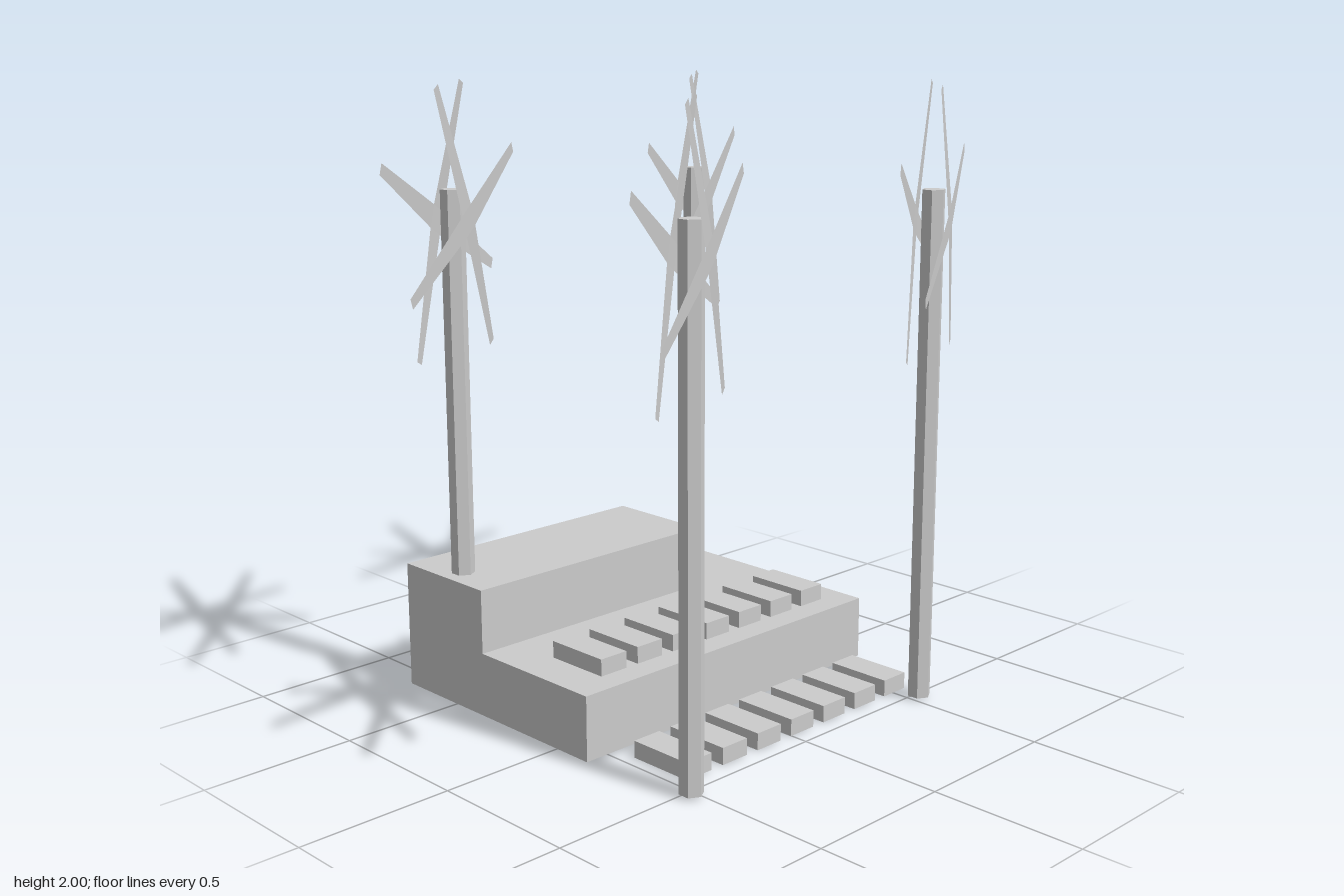
import * as THREE from 'three';

const material = new THREE.MeshStandardMaterial({ color: 0xcccccc, flatShading: true, side: THREE.DoubleSide });

function add(parent, name, geometry, x = 0, y = 0, z = 0) {
  const mesh = new THREE.Mesh(geometry, material);
  mesh.name = name;
  mesh.position.set(x, y, z);
  parent.add(mesh);
  return mesh;
}

// Box given by its limits, keeping only the listed sides (0..5 = +x -x +y -y +z -z)
function shell([x0, x1], [y0, y1], [z0, z1], sides) {
  const g = new THREE.BoxGeometry(x1 - x0, y1 - y0, z1 - z0);
  const index = Array.from(g.index.array);
  g.setIndex(sides.flatMap(s => index.slice(s * 6, s * 6 + 6)));
  g.clearGroups();
  return g.translate((x0 + x1) / 2, (y0 + y1) / 2, (z0 + z1) / 2);
}

// Flat cross of four tapering arms, bulging slightly at the centre
function crossGeometry(angle, bulge) {
  const r = 0.46, tip = 0.018, root = 0.038;
  const points = [];
  for (let i = 0; i < 4; i++) {
    const a = angle + i * Math.PI / 2;
    for (const [u, v] of [[root, -root], [r, -tip], [r, tip]]) {
      points.push(new THREE.Vector2(u * Math.cos(a) - v * Math.sin(a), u * Math.sin(a) + v * Math.cos(a)));
    }
  }
  const g = new THREE.ShapeGeometry(new THREE.Shape(points));
  const p = g.attributes.position;
  for (let i = 0; i < p.count; i++) {
    p.setZ(i, bulge * (1 - Math.hypot(p.getX(i), p.getY(i)) / r));
  }
  g.computeVertexNormals();
  return g;
}

function createTree(x, z) {
  const tree = new THREE.Group();
  tree.name = 'palmTree';
  tree.position.set(x, 0, z);
  add(tree, 'trunk', new THREE.CylinderGeometry(0.038, 0.038, 1.66, 6).rotateY(Math.PI / 6), 0, 0.84, 0);

  // Two counter-rotated crosses of leaves, one on each side of the trunk
  const crown = new THREE.Group();
  crown.name = 'crown';
  crown.position.y = 1.573;
  crown.rotation.y = -Math.PI / 3;
  for (const side of [1, -1]) {
    add(crown, 'leaves', crossGeometry(side * THREE.MathUtils.degToRad(25), side * 0.014), 0, 0, side * 0.041);
  }
  tree.add(crown);
  return tree;
}

export function createModel() {
  const model = new THREE.Group();
  model.name = 'terraceWithPalms';

  // Stepped terrace, hollow and open underneath
  const [x0, xm, x1] = [-0.73, -0.34, 0.155];
  const [z0, zm, z1] = [-0.66, -0.365, 0.597];
  add(model, 'lowerWalls', shell([x0, x1], [0.01, 0.22], [z0, z1], [0, 1, 4, 5]));
  add(model, 'upperBlock', shell([x0, xm], [0.22, 0.43], [zm, z1], [0, 1, 2, 4, 5]));
  const outline = [[x0, z0], [x0, zm], [xm, zm], [xm, z1], [x1, z1], [x1, z0]];
  const deck = new THREE.Shape(outline.map(([x, z]) => new THREE.Vector2(x, -z)));
  add(model, 'lowerDeck', new THREE.ShapeGeometry(deck).rotateX(-Math.PI / 2), 0, 0.22, 0);

  // Two rows of seven slabs, on the deck and on the ground
  for (let i = 0; i < 7; i++) {
    const z = -0.507 + i * 0.1522;
    add(model, 'deckSlab', new THREE.BoxGeometry(0.226, 0.055, 0.104), -0.045, 0.2475, z);
    add(model, 'groundSlab', new THREE.BoxGeometry(0.226, 0.055, 0.104), 0.327, 0.0275, z);
  }

  // Palm trees at the four corners
  for (const x of [-0.526, 0.524]) {
    for (const z of [-0.53, 0.522]) model.add(createTree(x, z));
  }
  return model;
}
